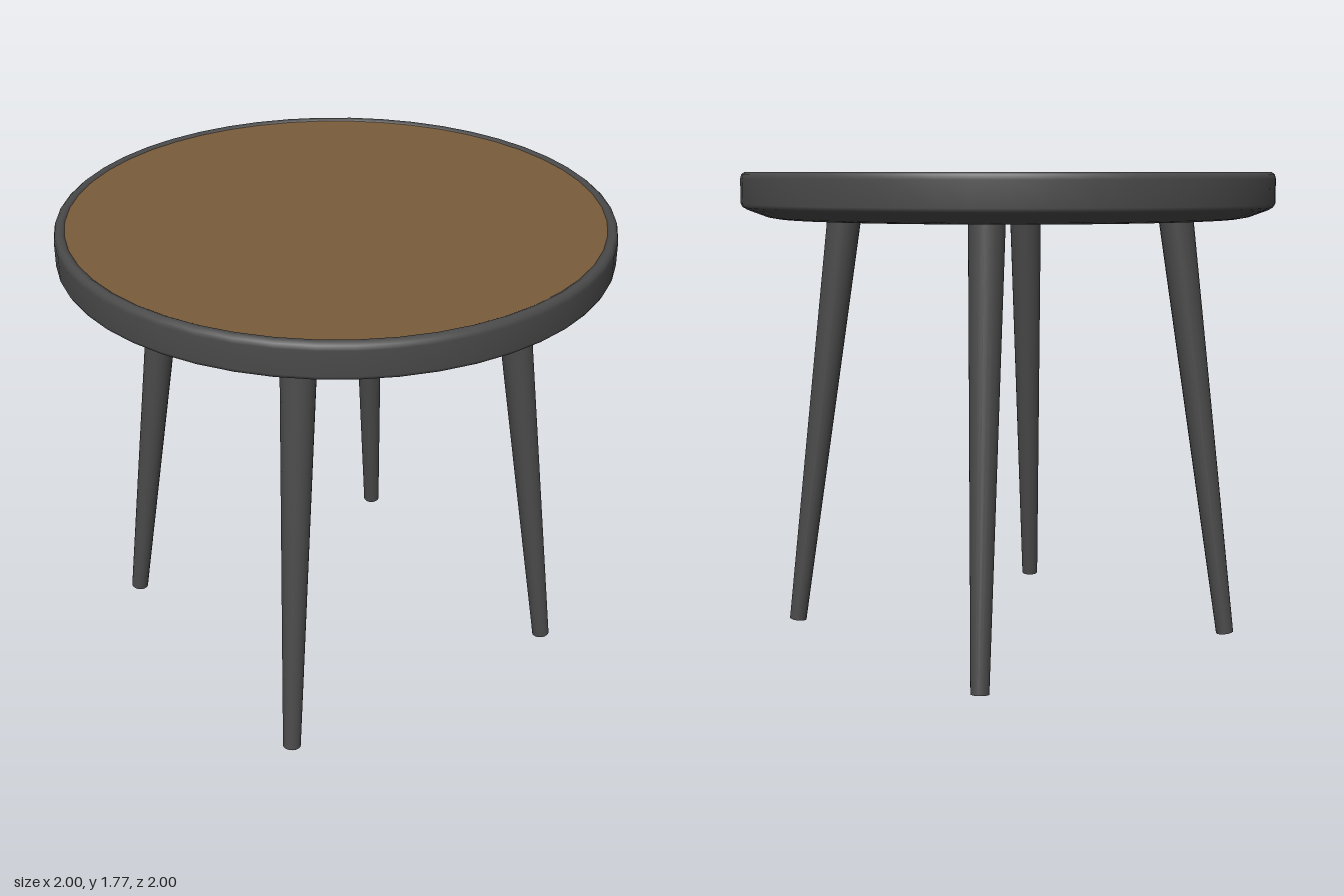
import * as THREE from 'three';

const SEGMENTS = 48;

// Tapered round leg running between two points
function taperedLeg(foot, head, footRadius, headRadius, material) {
  const axis = new THREE.Vector3().subVectors(head, foot);
  const leg = new THREE.Mesh(
    new THREE.CylinderGeometry(headRadius, footRadius, axis.length(), 20), material);
  leg.position.addVectors(foot, head).multiplyScalar(0.5);
  leg.quaternion.setFromUnitVectors(new THREE.Vector3(0, 1, 0), axis.normalize());
  return leg;
}

export function createModel() {
  const table = new THREE.Group();
  table.name = 'roundTable';

  const darkGrey = new THREE.MeshStandardMaterial({ color: 0x4a4a4a });
  darkGrey.name = 'darkGrey';
  const brown = new THREE.MeshStandardMaterial({ color: 0x7a5c3c });
  brown.name = 'brown';

  // Tray: flat underside, chamfered lower edge, softly rounded upper lip
  const profile = [
    [0, 1.6], [0.87, 1.6], [0.905, 1.606], [0.975, 1.632], [0.993, 1.642], [1, 1.655],
    [1, 1.745], [0.996, 1.761], [0.985, 1.77], [0.972, 1.77], [0.962, 1.764], [0.958, 1.755],
  ].map(([r, y]) => new THREE.Vector2(r, y));
  const tray = new THREE.Mesh(new THREE.LatheGeometry(profile, SEGMENTS), darkGrey);
  tray.name = 'tableTopRim';
  table.add(tray);

  // Inlaid surface just below the lip
  const inlay = new THREE.Mesh(new THREE.CircleGeometry(0.962, SEGMENTS), brown);
  inlay.name = 'tableTopInlay';
  inlay.rotation.x = -Math.PI / 2;
  inlay.position.y = 1.764;
  table.add(inlay);

  // Four splayed legs, one on each axis
  const names = ['leftLeg', 'backLeg', 'rightLeg', 'frontLeg'];
  names.forEach((name, i) => {
    const pivot = new THREE.Group();
    pivot.name = name;
    pivot.rotation.y = i * Math.PI / 2;
    pivot.add(taperedLeg(
      new THREE.Vector3(0.845, 0.005, 0), new THREE.Vector3(0.632, 1.61, 0),
      0.033, 0.065, darkGrey));
    table.add(pivot);
  });

  return table;
}
